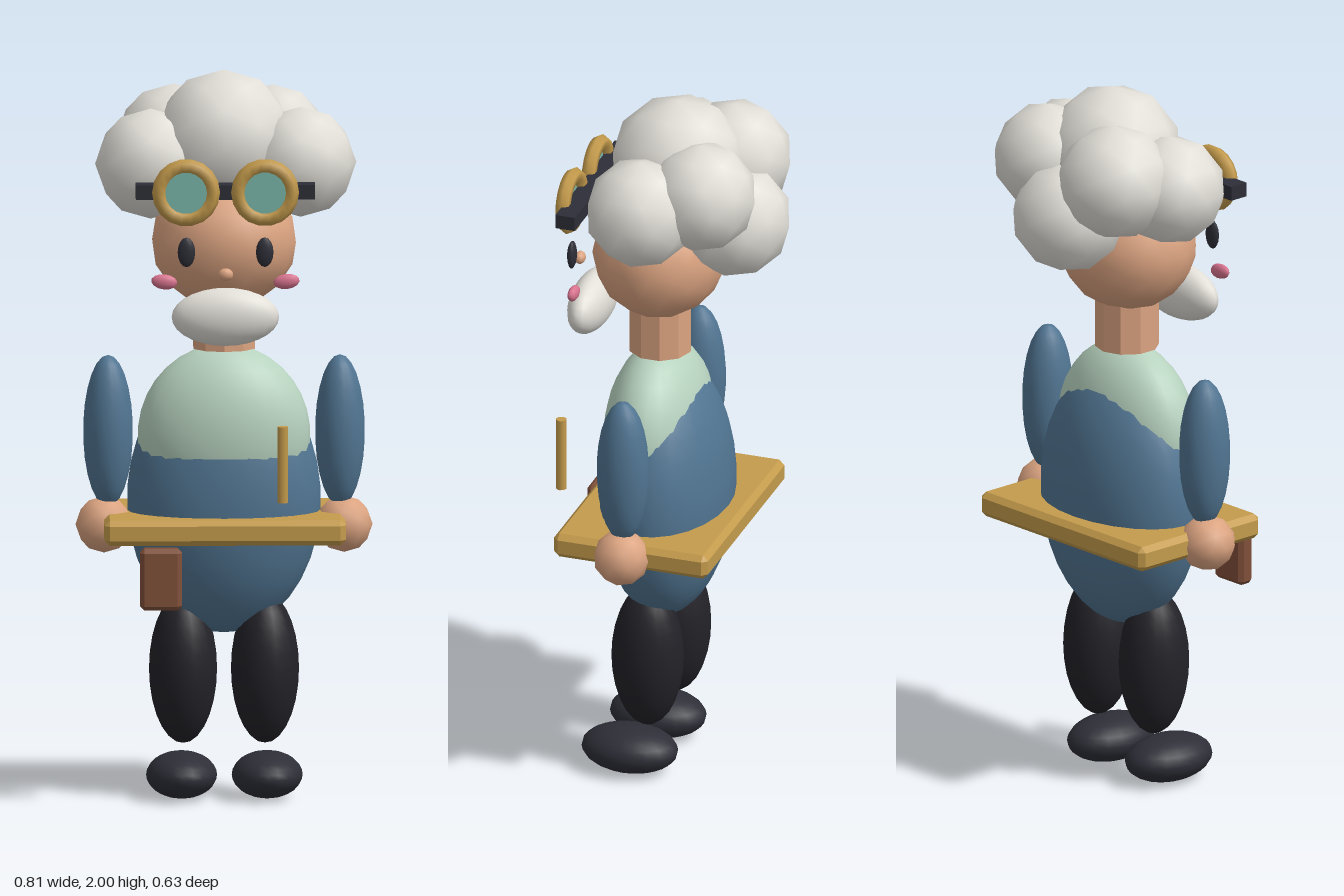
import * as THREE from 'three';
import { ConvexGeometry } from 'three/addons/geometries/ConvexGeometry.js';

const material = (name, color) => {
  const m = new THREE.MeshStandardMaterial({ color });
  m.name = name;
  return m;
};

// Box with a single flat chamfer on every edge and corner
function chamferBox(w, h, d, b) {
  const points = [];
  for (const sx of [-1, 1]) for (const sy of [-1, 1]) for (const sz of [-1, 1]) {
    const x = w / 2, y = h / 2, z = d / 2;
    for (const [px, py, pz] of [[x, y - b, z - b], [x - b, y, z - b], [x - b, y - b, z]]) {
      points.push(new THREE.Vector3(sx * px, sy * py, sz * pz));
    }
  }
  return new ConvexGeometry(points);
}

export function createModel() {
  const model = new THREE.Group();
  model.name = 'tinkerer';

  const skin = material('skin', 0xdca481);
  const blue = material('overallBlue', 0x517592);
  const green = material('shirtGreen', 0xb7d2bf);
  const white = material('hairWhite', 0xe2dfd8);
  const gold = material('brassAndWood', 0xc49b4c);
  const trouser = material('trouserBlack', 0x222228);
  const dark = material('shoeBlack', 0x2d2e37);
  const teal = material('lensTeal', 0x79b5a9);
  const pink = material('cheekPink', 0xd9748f);
  const brown = material('leatherBrown', 0x80503a);

  const add = (name, geometry, mat, x, y, z) => {
    const mesh = new THREE.Mesh(geometry, mat);
    mesh.name = name;
    mesh.position.set(x, y, z);
    model.add(mesh);
    return mesh;
  };
  // Smooth ellipsoid from a unit sphere
  const ball = (name, mat, [x, y, z], [rx, ry, rz], segments = 20) =>
    add(name, new THREE.SphereGeometry(1, segments, Math.round(segments * 0.7)).scale(rx, ry, rz), mat, x, y, z);
  // Coarse, softly shaded ball
  const puff = (name, mat, [x, y, z], r, detail = 1) =>
    add(name, new THREE.IcosahedronGeometry(r, detail), mat, x, y, z);

  // Torso: overalls with the shirt showing above the bib line
  ball('overalls', blue, [0, 0.82, 0.035], [0.265, 0.37, 0.175], 24);
  ball('shirt', green, [0, 1.0, 0.06], [0.236, 0.25, 0.141], 24);

  // Neck and head
  const neck = new THREE.CylinderGeometry(0.088, 0.088, 0.16, 10).toNonIndexed();
  neck.computeVertexNormals();
  add('neck', neck, skin, 0, 1.32, 0.058);
  const head = puff('head', skin, [0, 1.535, 0.058], 1, 2);
  head.scale.set(0.2, 0.183, 0.184);

  // Hair
  puff('topHair', white, [0, 1.81, 0.005], 0.19);
  puff('backHair', white, [0, 1.665, -0.157], 0.158);
  puff('leftBackHair', white, [0.135, 1.79, -0.11], 0.152);
  puff('rightBackHair', white, [-0.135, 1.785, -0.11], 0.16);
  puff('leftSideHair', white, [0.21, 1.75, 0.042], 0.152);
  puff('rightSideHair', white, [-0.2, 1.745, 0.035], 0.152);

  // Face
  ball('nose', skin, [0, 1.475, 0.29], [0.021, 0.018, 0.015], 10);
  ball('moustache', white, [0, 1.353, 0.252], [0.147, 0.08, 0.056]);

  // Goggle strap
  add('goggleStrap', new THREE.BoxGeometry(0.49, 0.04, 0.056), dark, 0, 1.7, 0.248);

  // Mirrored parts
  for (const [side, s] of [['left', 1], ['right', -1]]) {
    ball(side + 'Eye', dark, [s * 0.107, 1.535, 0.276], [0.024, 0.041, 0.012], 12);
    const cheek = ball(side + 'Cheek', pink, [s * 0.167, 1.45, 0.25], [0.036, 0.021, 0.014], 10);
    cheek.rotation.z = s * 0.12;

    add(side + 'GoggleRim', new THREE.TorusGeometry(0.072, 0.021, 6, 18), gold, s * 0.108, 1.7, 0.277);
    const lens = new THREE.CylinderGeometry(0.062, 0.062, 0.009, 18).rotateX(Math.PI / 2);
    add(side + 'Lens', lens, teal, s * 0.108, 1.7, 0.283);

    ball(side + 'Arm', blue, [s * 0.317, 1.01, 0.055], [0.068, 0.21, 0.073], 18);
    puff(side + 'Hand', skin, [s * 0.328, 0.752, 0.055], 0.078);
    ball(side + 'Leg', trouser, [s * 0.112, 0.355, 0.055], [0.093, 0.207, 0.1]);
    ball(side + 'Shoe', dark, [s * 0.117, 0.068, 0.105], [0.097, 0.064, 0.136]);
  }

  // Work tray, pencil and pouch
  add('tray', chamferBox(0.66, 0.07, 0.446, 0.015), gold, 0, 0.754, 0.032);
  add('pencil', new THREE.CylinderGeometry(0.015, 0.015, 0.21, 8), gold, 0.156, 0.95, 0.29);
  add('pouch', chamferBox(0.115, 0.17, 0.05, 0.012), brown, -0.177, 0.635, 0.29);

  return model;
}
